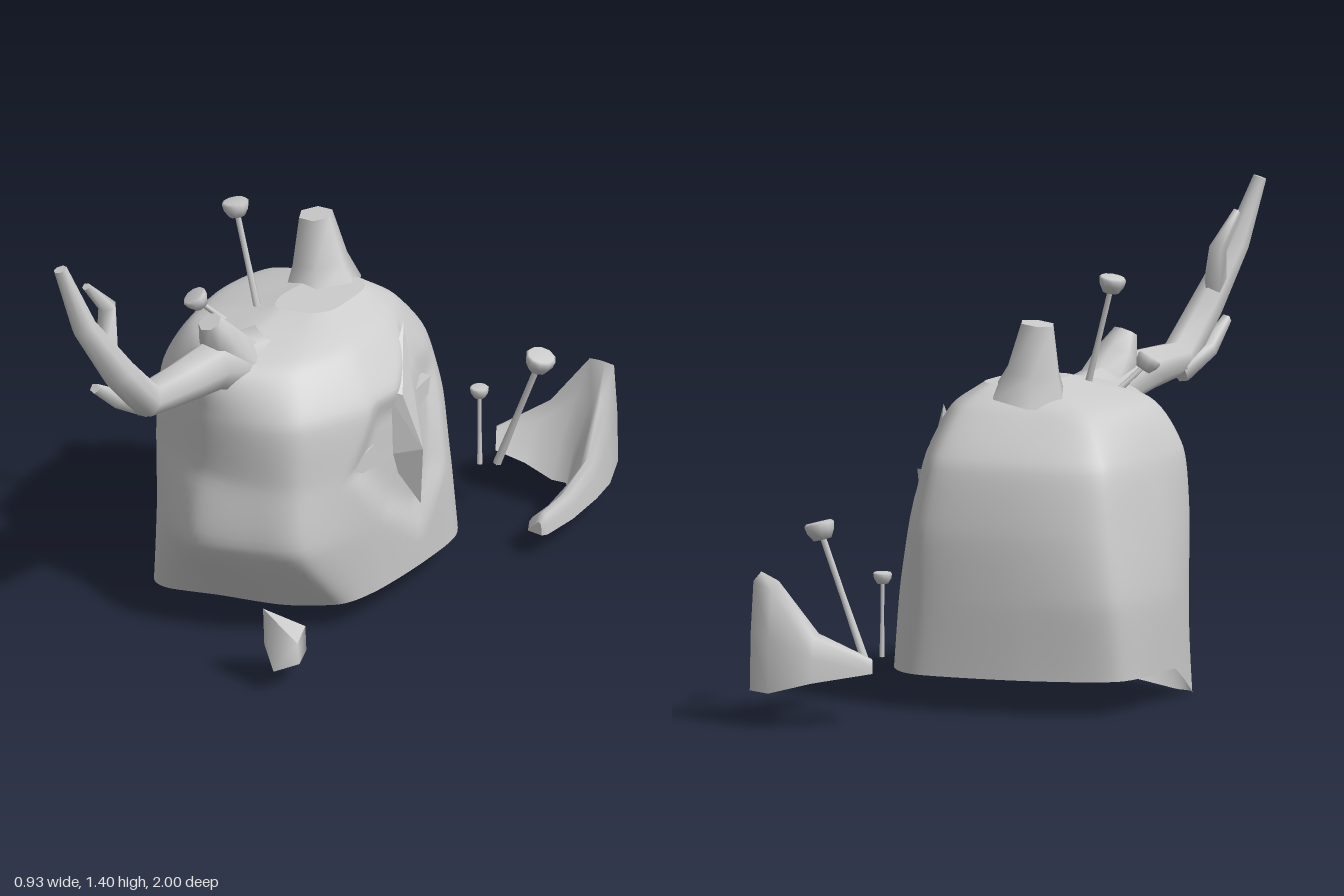
import * as THREE from 'three';
import { ConvexGeometry } from 'three/addons/geometries/ConvexGeometry.js';

const V = (x, y, z) => new THREE.Vector3(x, y, z);
const clamp = (v) => THREE.MathUtils.clamp(v, 0, 1);
const material = new THREE.MeshStandardMaterial({ color: 0xcccccc, side: THREE.DoubleSide });

function add(parent, name, geometry) {
  const mesh = new THREE.Mesh(geometry, material);
  mesh.name = name;
  parent.add(mesh);
  return mesh;
}

// Skin over rings (counter-clockwise about the travel direction), with optional flat end caps
function loft(rings, { closed = true, startCap = true } = {}) {
  const n = rings[0].length, pos = [], idx = [];
  rings.forEach((ring) => ring.forEach((p) => pos.push(p.x, p.y, p.z)));
  for (let i = 0; i < rings.length - 1; i++) {
    for (let j = 0; j < (closed ? n : n - 1); j++) {
      const k = (j + 1) % n, a = i * n + j, b = i * n + k;
      idx.push(a, b, b + n, a, b + n, a + n);
    }
  }
  for (const last of startCap ? [false, true] : [true]) {
    const ring = rings[last ? rings.length - 1 : 0], base = pos.length / 3;
    const mid = ring.reduce((s, p) => s.add(p), V(0, 0, 0)).divideScalar(n);
    [...ring, mid].forEach((p) => pos.push(p.x, p.y, p.z));
    for (let j = 0; j < n; j++) {
      const a = base + j, b = base + (j + 1) % n;
      idx.push(base + n, last ? a : b, last ? b : a);
    }
  }
  const g = new THREE.BufferGeometry();
  g.setAttribute('position', new THREE.Float32BufferAttribute(pos, 3));
  g.setIndex(idx);
  g.computeVertexNormals();
  return g;
}

// Tapering limb through [x, y, z, radius] stations
function limb(stations, sides = 7) {
  const pts = stations.map((s) => V(s[0], s[1], s[2]));
  const side = V(1, 0, 0);
  return loft(pts.map((p, i) => {
    const t = pts[Math.min(i + 1, pts.length - 1)].clone().sub(pts[Math.max(i - 1, 0)]).normalize();
    const n = side.clone().addScaledVector(t, -side.dot(t)).normalize();
    const b = t.clone().cross(n);
    return Array.from({ length: sides }, (_, j) => {
      const a = (j / sides) * Math.PI * 2, r = stations[i][3];
      return p.clone().addScaledVector(n, r * Math.cos(a)).addScaledVector(b, r * Math.sin(a));
    });
  }));
}

// Sunken face outline in (z, y)
const mask = [[0.1, 0.73], [0, 0.72], [-0.17, 0.84], [-0.33, 0.64], [-0.26, 0.37],
  [-0.13, 0.2], [0.06, 0.34], [0.21, 0.52]];

// Distance inside the outline, or 0 when outside
function insideDepth(z, y) {
  let inside = false, best = 1;
  mask.forEach(([z1, y1], i) => {
    const [z2, y2] = mask[(i + 1) % mask.length];
    if ((y1 > y) !== (y2 > y) && z < z1 + ((y - y1) / (y2 - y1)) * (z2 - z1)) inside = !inside;
    const dz = z2 - z1, dy = y2 - y1;
    const t = clamp(((z - z1) * dz + (y - y1) * dy) / (dz * dz + dy * dy));
    best = Math.min(best, Math.hypot(z - z1 - t * dz, y - y1 - t * dy));
  });
  return inside ? best : 0;
}

// Body outlines from foot to crown: height, then (x, z) from the front round by +x
const foot = [0.1, [-0.12, 0.27], [0.1, 0.26], [0.26, 0.2], [0.3, 0.08], [0.3, -0.15], [0.27, -0.34],
  [0.13, -0.45], [-0.2, -0.4], [-0.445, -0.27], [-0.445, 0], [-0.4, 0.18], [-0.34, 0.28]];
const belly = [0.32, [-0.07, 0.47], [0.12, 0.43], [0.25, 0.36], [0.31, 0.15], [0.31, -0.1], [0.275, -0.3],
  [0.12, -0.445], [-0.2, -0.41], [-0.445, -0.3], [-0.455, -0.02], [-0.39, 0.2], [-0.27, 0.36]];
const chest = [0.52, [-0.07, 0.425], [0.1, 0.41], [0.23, 0.35], [0.31, 0.15], [0.315, -0.08], [0.265, -0.26],
  [0.12, -0.435], [-0.2, -0.4], [-0.42, -0.29], [-0.435, -0.02], [-0.38, 0.22], [-0.27, 0.35]];
const shoulder = [0.71, [-0.07, 0.425], [0.1, 0.4], [0.22, 0.33], [0.305, 0.12], [0.305, -0.08], [0.24, -0.22],
  [0.1, -0.39], [-0.18, -0.36], [-0.385, -0.26], [-0.4, -0.02], [-0.36, 0.22], [-0.25, 0.34]];
const brow = [0.85, [-0.06, 0.4], [0.06, 0.33], [0.15, 0.24], [0.21, 0.08], [0.2, -0.1], [0.16, -0.2],
  [0.08, -0.28], [-0.12, -0.25], [-0.28, -0.19], [-0.32, -0.02], [-0.28, 0.18], [-0.18, 0.29]];
const crown = [0.92, [-0.03, 0.1], [0.02, 0.08], [0.06, 0.06], [0.09, 0.01], [0.09, -0.08], [0.08, -0.15],
  [0.04, -0.19], [-0.03, -0.16], [-0.07, -0.1], [-0.08, -0.02], [-0.08, 0.04], [-0.06, 0.09]];

// Hollow shell, open underneath
function bodyGeometry() {
  const outlines = [foot, belly, chest, shoulder, brow, crown];
  const columns = foot.slice(1).map((_, k) => new THREE.CatmullRomCurve3(
    outlines.map((o) => V(o[k + 1][0], o[0], o[k + 1][1])), false, 'catmullrom', 0.35));
  const rings = [], levels = 40, sides = 120;
  for (let i = 0; i <= levels; i++) {
    const ring = new THREE.CatmullRomCurve3(columns.map((c) => c.getPoint(i / levels)), true, 'catmullrom', 0.4);
    rings.push(Array.from({ length: sides }, (_, j) => {
      const p = ring.getPoint(j / sides);
      // foot droops at the front right corner
      const low = 1 - clamp((p.y - 0.1) / 0.35);
      p.y -= 0.1 * low * clamp((p.z - 0.05) / 0.2) * clamp((0.3 - p.x) / 0.6);
      if (p.x > 0.1) p.x -= 0.03 * clamp(insideDepth(p.z, p.y) / 0.07);
      return p;
    }));
  }
  return loft(rings, { startCap: false });
}

// Slanted eye from (z, y) corners, facing +x
function eyeGeometry(corners) {
  const shape = new THREE.Shape(corners.map(([z, y]) => new THREE.Vector2(-z, y)));
  return new THREE.ExtrudeGeometry(shape, { depth: 0.03, bevelEnabled: false }).rotateY(Math.PI / 2);
}

// Thin stem with a flat-topped cup
function mushroom(parent, name, base, head, r) {
  const group = new THREE.Group();
  group.name = name;
  const mid = base.map((v, i) => (v + head[i]) / 2);
  add(group, 'stem', limb([[...base, r * 0.3], [...mid, r * 0.22], [...head, r * 0.22]], 6));
  const profile = [[0, -0.6], [0.6, -0.55], [0.92, 0], [1, 0.45], [0.85, 0.6], [0, 0.6]];
  const cap = add(group, 'cap', new THREE.LatheGeometry(
    profile.map(([a, b]) => new THREE.Vector2(a * r, b * r)), 10));
  cap.position.set(...head);
  const axis = V(...head).sub(V(...base)).normalize();
  cap.quaternion.setFromUnitVectors(V(0, 1, 0), axis.lerp(V(0, 1, 0), 0.3).normalize());
  parent.add(group);
}

// Curved root, open underneath: outer edge, inner edge, underside and crest heights
function rootGeometry() {
  const stations = [[0.06, -0.8, 0.11, -0.73, 0.15, 0.19], [0.18, -0.94, 0.2, -0.75, 0.13, 0.27],
    [0.29, -1, 0.29, -0.76, 0.1, 0.42], [0.37, -0.97, 0.335, -0.77, 0.1, 0.44],
    [0.425, -0.86, 0.36, -0.74, 0.09, 0.36], [0.445, -0.77, 0.375, -0.7, 0.085, 0.22],
    [0.46, -0.64, 0.375, -0.6, 0.08, 0.165], [0.46, -0.52, 0.37, -0.55, 0.08, 0.145],
    [0.45, -0.505, 0.4, -0.505, 0.08, 0.12]];
  const arch = [[0, 0], [0.02, 0.5], [0.08, 0.93], [0.25, 1], [0.5, 0.7], [0.82, 0.35], [1, 0]];
  return loft(stations.map(([ox, oz, ix, iz, base, top]) => arch.map(([s, h]) =>
    V(ox + (ix - ox) * s, base + (top - base) * h, oz + (iz - oz) * s))), { closed: false });
}

export function createModel() {
  const model = new THREE.Group();
  model.name = 'treeStumpCreature';
  add(model, 'body', bodyGeometry());

  // Face on the left side
  const beak = [[0.275, 0.72, 0.01], [0.21, 0.845, -0.165], [0.25, 0.66, -0.14], [0.265, 0.45, -0.15],
    [0.27, 0.5, 0], [0.315, 0.31, -0.11], [0.27, 0.34, -0.12], [0.315, 0.7, -0.025], [0.358, 0.52, -0.065]];
  add(model, 'beak', new ConvexGeometry(beak.map((p) => V(...p))));
  add(model, 'frontEye', eyeGeometry([[0.21, 0.54], [0.145, 0.505], [0.04, 0.5], [0.08, 0.575]]))
    .position.x = 0.262;
  add(model, 'rearEye', eyeGeometry([[-0.12, 0.635], [-0.12, 0.57], [-0.215, 0.605], [-0.225, 0.66]]))
    .position.x = 0.232;

  // Forked branch and stubs
  add(model, 'branch', limb([[-0.03, 0.8, 0.18, 0.1], [-0.04, 0.87, 0.42, 0.075], [-0.035, 0.88, 0.57, 0.062],
    [-0.04, 0.89, 0.72, 0.055], [-0.06, 1.02, 0.83, 0.05], [-0.1, 1.2, 0.94, 0.037], [-0.15, 1.39, 0.985, 0.02]]));
  add(model, 'lowerTwig', limb([[-0.06, 0.85, 0.69, 0.035], [-0.09, 0.91, 0.8, 0.029], [-0.09, 0.985, 0.9, 0.016]], 5));
  add(model, 'upperTwig', limb([[-0.08, 1.08, 0.85, 0.035], [-0.12, 1.2, 0.8, 0.028], [-0.13, 1.3, 0.89, 0.012]], 5));
  add(model, 'branchKnob', limb([[-0.03, 0.84, 0.3, 0.08], [-0.04, 0.94, 0.38, 0.062], [-0.05, 1.005, 0.41, 0.035]]));
  add(model, 'topStub', limb([[-0.07, 0.88, -0.15, 0.12], [-0.085, 0.96, -0.155, 0.085],
    [-0.1, 1.1, -0.155, 0.052]], 6));

  mushroom(model, 'tallMushroom', [-0.11, 0.88, 0.1], [-0.2, 1.19, 0.09], 0.04);
  mushroom(model, 'shortMushroom', [-0.16, 0.86, 0.17], [-0.225, 0.945, 0.24], 0.037);
  mushroom(model, 'tallRootMushroom', [0.17, 0.16, -0.66], [0.315, 0.53, -0.67], 0.045);
  mushroom(model, 'shortRootMushroom', [0.145, 0.17, -0.61], [0.14, 0.4, -0.615], 0.028);

  add(model, 'root', rootGeometry());
  const rock = [[[0.335, 0.075, 0.61], [0.36, 0.07, 0.52], [0.335, 0.08, 0.455], [0.24, 0.1, 0.53]],
    [[0.29, 0.25, 0.59], [0.36, 0.14, 0.53], [0.335, 0.16, 0.46], [0.27, 0.245, 0.575]]];
  add(model, 'rock', loft(rock.map((ring) => ring.map((p) => V(...p))), { startCap: false }));
  return model;
}
